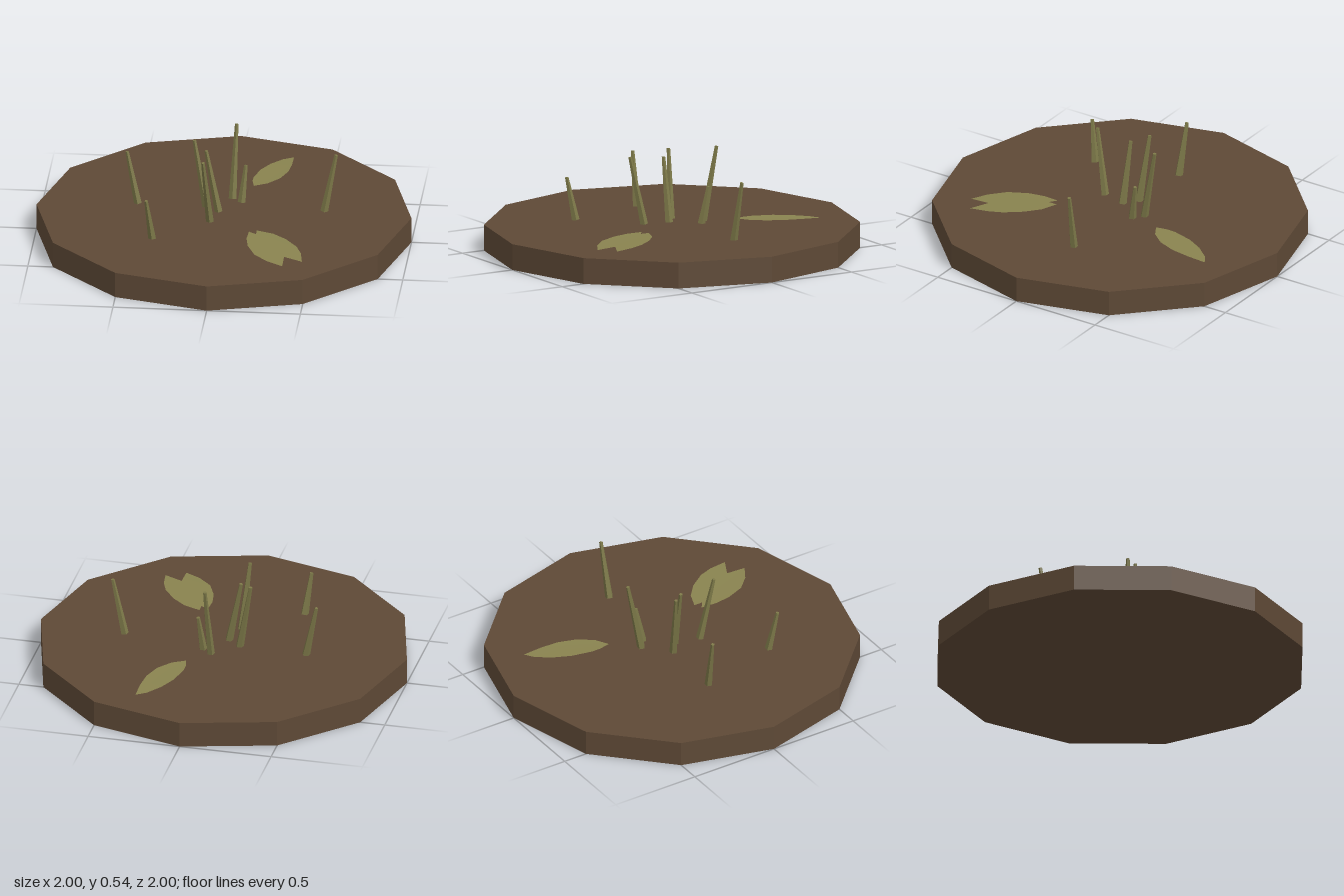
import * as THREE from 'three';

const soilMat = new THREE.MeshStandardMaterial({ color: 0x5e4936 });
soilMat.name = 'soil brown';
const stalkMat = new THREE.MeshStandardMaterial({ color: 0x7c7848, flatShading: true });
stalkMat.name = 'stalk olive';
const leafMat = new THREE.MeshStandardMaterial({ color: 0x89834f, side: THREE.DoubleSide });
leafMat.name = 'leaf olive';
soilMat.flatShading = true;

const SOIL_TOP = 0.14;

// Tapered five-sided stalk from a base point to a tip point
function makeStalk([bx, bz, tx, ty, tz]) {
  const base = new THREE.Vector3(bx, SOIL_TOP, bz);
  const dir = new THREE.Vector3(tx, ty, tz).sub(base);
  const length = dir.length();
  const geo = new THREE.CylinderGeometry(0.01, 0.022, length, 5);
  geo.translate(0, length / 2, 0);
  const stalk = new THREE.Mesh(geo, stalkMat);
  stalk.name = 'stalk';
  stalk.position.copy(base);
  stalk.quaternion.setFromUnitVectors(new THREE.Vector3(0, 1, 0), dir.normalize());
  return stalk;
}

// Thin leaf from an x,z outline, drooping from its raised end to its low end
function makeLeaf(name, outline, zHigh, zLow) {
  const shape = new THREE.Shape(outline.map(([x, z]) => new THREE.Vector2(x, -z)));
  const geo = new THREE.ShapeGeometry(shape);
  geo.rotateX(-Math.PI / 2);
  const pos = geo.attributes.position;
  for (let i = 0; i < pos.count; i++) {
    const t = (pos.getZ(i) - zHigh) / (zLow - zHigh);
    pos.setY(i, 0.155 - 0.013 * t * t);
  }
  geo.computeVertexNormals();
  const leaf = new THREE.Mesh(geo, leafMat);
  leaf.name = name;
  return leaf;
}

export function createModel() {
  const group = new THREE.Group();
  group.name = 'soilPatch';

  // Twelve-sided slab of soil
  const soil = new THREE.Mesh(new THREE.CylinderGeometry(1, 1, SOIL_TOP, 12), soilMat);
  soil.name = 'soilDisc';
  soil.position.y = SOIL_TOP / 2;
  group.add(soil);

  // Stalks: base x, base z, tip x, tip y, tip z
  const stalks = [
    [-0.465, -0.068, -0.524, 0.43, -0.08],
    [-0.347, 0.388, -0.376, 0.37, 0.425],
    [-0.1, -0.055, -0.165, 0.51, -0.08],
    [-0.062, 0.137, -0.093, 0.505, 0.205],
    [-0.028, 0.002, -0.095, 0.485, -0.005],
    [0.03, -0.175, 0.045, 0.54, -0.25],
    [0.082, -0.132, 0.102, 0.34, -0.163],
    [0.53, -0.055, 0.592, 0.46, -0.067],
  ];
  const stalkGroup = new THREE.Group();
  stalkGroup.name = 'stalks';
  stalks.forEach((s) => stalkGroup.add(makeStalk(s)));
  group.add(stalkGroup);

  // Broad notched leaf at the front
  group.add(makeLeaf('frontLeaf', [
    [0.16, 0.29], [0.2, 0.32], [0.2, 0.27], [0.29, 0.305], [0.365, 0.37], [0.43, 0.46],
    [0.46, 0.54], [0.475, 0.64], [0.375, 0.59], [0.375, 0.7], [0.29, 0.65],
    [0.215, 0.575], [0.17, 0.47], [0.155, 0.38],
  ], 0.27, 0.7));

  // Narrow leaf at the back
  group.add(makeLeaf('backLeaf', [
    [0.13, -0.315], [0.2, -0.355], [0.26, -0.43], [0.295, -0.53], [0.305, -0.63],
    [0.305, -0.74], [0.25, -0.705], [0.19, -0.63], [0.145, -0.54], [0.118, -0.43], [0.117, -0.38],
  ], -0.315, -0.74));

  return group;
}
